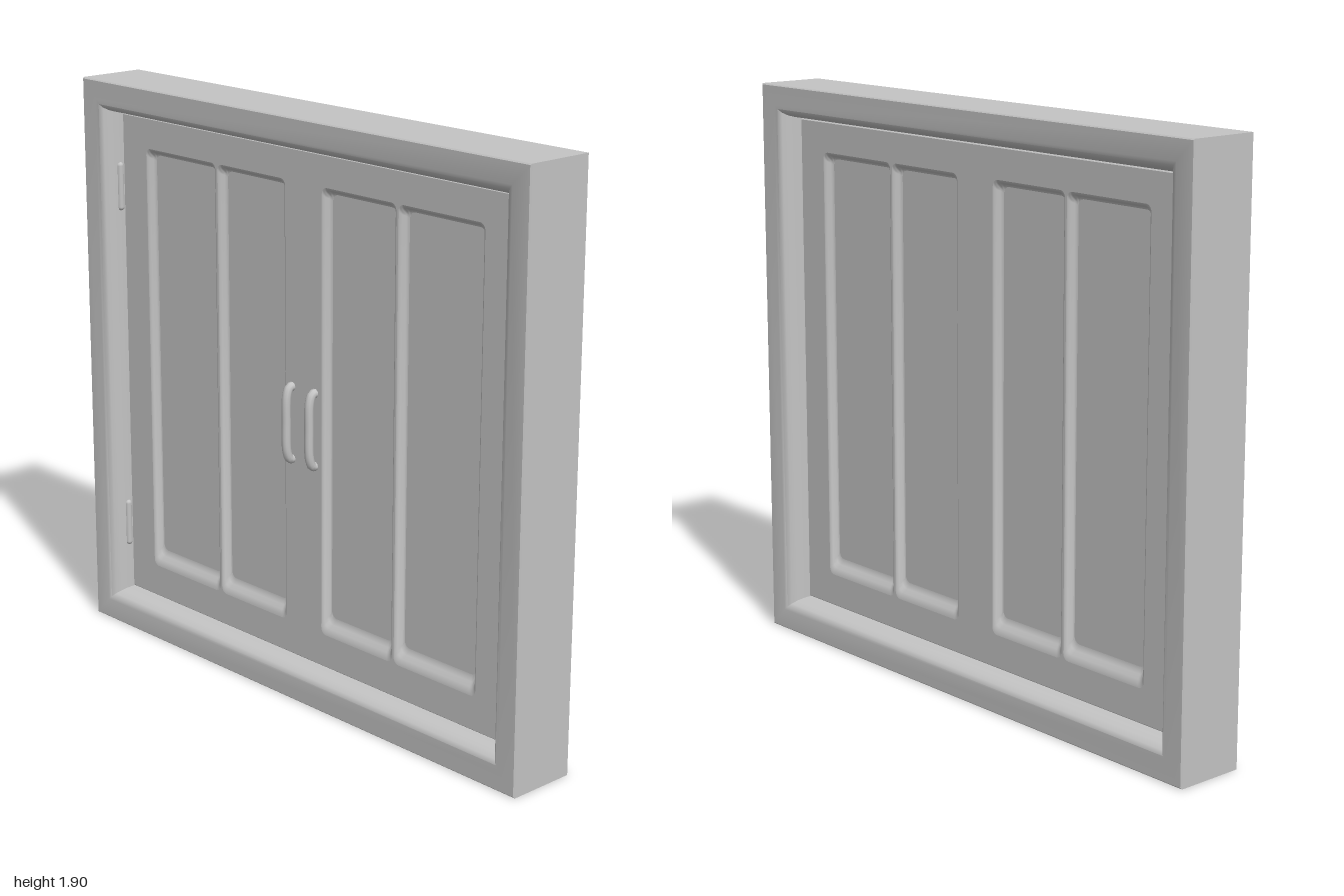
import * as THREE from 'three';
import { toCreasedNormals, mergeGeometries } from 'three/addons/utils/BufferGeometryUtils.js';

const W = 1, H = 1.9; // half width, full height

// Counter-clockwise rectangle outline with rounded corners
function outline(x0, x1, y0, y1, r) {
  const steps = r > 0 ? 5 : 0, pts = [];
  [[x1 - r, y0 + r, -1], [x1 - r, y1 - r, 0], [x0 + r, y1 - r, 1], [x0 + r, y0 + r, 2]].forEach(([cx, cy, q]) => {
    for (let i = 0; i <= steps; i++) {
      const a = (q + (steps ? i / steps : 0)) * Math.PI / 2;
      pts.push(new THREE.Vector2(cx + r * Math.cos(a), cy + r * Math.sin(a)));
    }
  });
  return pts;
}

// Moulding: a profile of [inset, z] carried round a rectangle, with mitred corners
function moulding([x0, x1, y0, y1], profile, r = 0, sill = 1) {
  const rings = profile.map(([d, z]) =>
    outline(x0 + d, x1 - d, y0 + d * sill, y1 - d, r).map(p => [p.x, p.y, z]));
  const pos = [];
  for (let k = 0; k + 1 < rings.length; k++) {
    const a = rings[k], b = rings[k + 1], n = a.length;
    for (let i = 0; i < n; i++) {
      const j = (i + 1) % n;
      pos.push(...a[i], ...a[j], ...b[j], ...a[i], ...b[j], ...b[i]);
    }
  }
  const g = new THREE.BufferGeometry();
  g.setAttribute('position', new THREE.Float32BufferAttribute(pos, 3));
  g.computeVertexNormals();
  return toCreasedNormals(g, 0.75);
}

// Flat face with optional holes
function plate(points, holes, z) {
  const shape = new THREE.Shape(points);
  shape.holes = holes.map(h => new THREE.Path(h));
  const g = new THREE.ShapeGeometry(shape).toNonIndexed();
  g.deleteAttribute('uv');
  return g.translate(0, 0, z);
}

export function createModel() {
  const model = new THREE.Group();
  const grey = new THREE.MeshStandardMaterial({ color: 0xc4c4c4 });
  grey.name = 'plain grey';
  const add = (parent, name, geo) => {
    const m = new THREE.Mesh(geo, grey);
    m.name = name;
    parent.add(m);
    return m;
  };

  const whole = [-W, W, 0, H];
  const faceZ = 0.045, floorZ = 0.018, edge = 0.117, bevel = 0.022;
  const frameProfile = [[0, 0], [0, 0.116], [0.004, 0.12], [0.068, 0.12], [0.08, 0.117],
    [0.092, 0.107], [0.102, 0.088], [0.108, 0.066], [0.11, 0.035]];
  const doorProfile = [[0.11, 0.035], [0.114, 0.035], [0.114, 0.042], [edge, faceZ]];
  const panelProfile = [[0, faceZ], [0.004, 0.0435], [0.009, 0.037], [0.014, 0.026], [0.018, 0.0195], [bevel, floorZ]];
  const panels = [[-0.765, -0.414], [-0.406, -0.083], [0.083, 0.406], [0.414, 0.765]].map(x => [...x, 0.225, 1.685]);
  const r = 0.022, sill = 2.5;

  // Front and back sides share the frame and panelled doors
  for (const side of ['front', 'back']) {
    const half = new THREE.Group();
    half.name = side + 'Side';
    if (side === 'back') half.rotation.y = Math.PI;
    add(half, 'frame', moulding(whole, frameProfile));
    add(half, 'doorEdge', moulding(whole, doorProfile));
    add(half, 'doorFace',
      plate(outline(-W + edge, W - edge, edge, H - edge, 0), panels.map(p => outline(...p, r)), faceZ));

    // Sunken panels with a softer slope at the bottom, meeting at narrow ridges
    const sunk = panels.map(([x0, x1, y0, y1]) => mergeGeometries([
      moulding([x0, x1, y0, y1], panelProfile, r, sill),
      plate(outline(x0 + bevel, x1 - bevel, y0 + bevel * sill, y1 - bevel, r), [], floorZ),
    ]));
    add(half, 'sunkenPanels', mergeGeometries(sunk));
    model.add(half);
  }

  for (const s of [-1, 1]) {
    // Low bow handle beside the meeting stile
    const path = new THREE.CatmullRomCurve3([[0.785, 0.035], [0.787, 0.056], [0.812, 0.068], [0.905, 0.071],
      [0.998, 0.068], [1.023, 0.056], [1.025, 0.035]].map(([y, z]) => new THREE.Vector3(s * 0.053, y, z)));
    add(model, s > 0 ? 'leftHandle' : 'rightHandle', new THREE.TubeGeometry(path, 32, 0.015, 10));

    // Hinge swellings half buried in the jamb
    for (const y of [0.35, 1.54]) {
      const hinge = add(model, 'hinge', new THREE.CapsuleGeometry(0.012, 0.14, 4, 10));
      hinge.position.set(s * 0.893, y, 0.055);
    }
  }
  return model;
}
